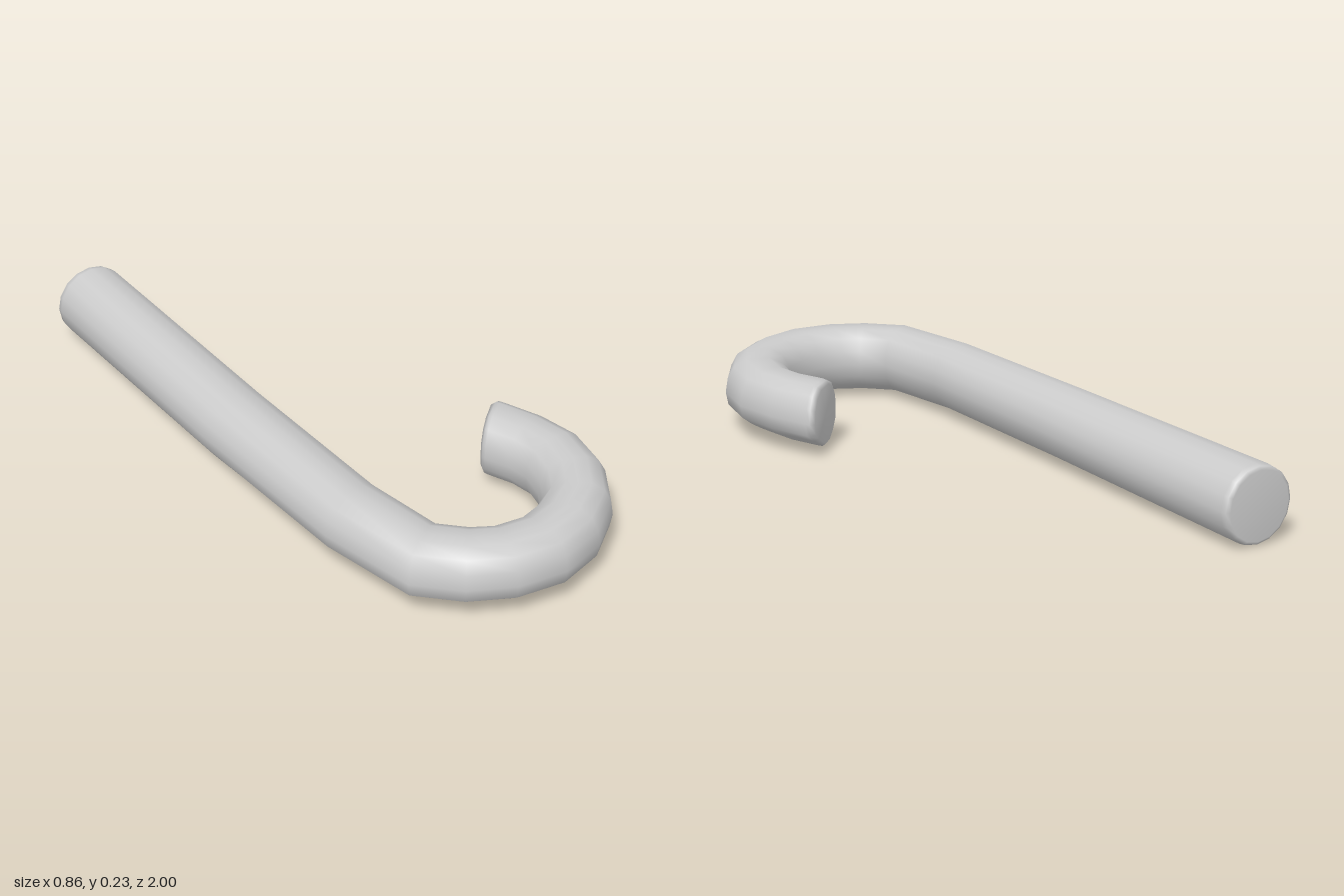
import * as THREE from 'three';

const SIDES = 16;
const MID_Y = 0.12;

// Hook cross-section: x towards the outside of the bend, y up (flat top, chamfered outer underside)
const HOOK = [
  [1, 0], [0.93, 0.43], [0.73, 0.79], [0.36, 1], [0, 1], [-0.36, 1], [-0.75, 0.8], [-0.97, 0.42],
  [-1, 0], [-0.95, -0.4], [-0.7, -0.74], [-0.38, -0.96], [0, -1], [0.33, -0.82], [0.64, -0.63], [0.93, -0.4],
];

// Rings: outer x, z, inner x, z, half height, blend (0 = round shaft, 1 = hook section)
const RINGS = [
  [-0.418, -1, -0.212, -1, 0.104, 0],
  [-0.43, -0.993, -0.2, -0.993, 0.114, 0],
  [-0.432, -0.975, -0.198, -0.975, 0.117, 0],
  [-0.432, -0.12, -0.2, -0.12, 0.109, 0],
  [-0.41, 0.49, -0.2, 0.45, 0.103, 0.7],
  [-0.35, 0.8, -0.17, 0.69, 0.102, 1],
  [-0.24, 0.91, -0.11, 0.75, 0.102, 1],
  [-0.11, 0.975, -0.06, 0.78, 0.102, 1],
  [0.04, 0.995, 0.02, 0.79, 0.102, 1],
  [0.19, 0.95, 0.09, 0.77, 0.102, 1],
  [0.31, 0.86, 0.16, 0.73, 0.102, 1],
  [0.395, 0.73, 0.2, 0.66, 0.102, 1],
  [0.425, 0.58, 0.22, 0.58, 0.102, 1],
  [0.4, 0.44, 0.21, 0.51, 0.102, 1],
  [0.35, 0.31, 0.18, 0.44, 0.102, 1],
  [0.345, 0.297, 0.177, 0.43, 0.1, 1],
  [0.329, 0.29, 0.183, 0.415, 0.09, 1],
];

// Skins the rings into one closed bar with smooth normals
function loftCane() {
  const pos = [], index = [];
  for (const [ox, oz, ix, iz, h, blend] of RINGS) {
    const cx = (ox + ix) / 2, cz = (oz + iz) / 2;
    for (let k = 0; k < SIDES; k++) {
      const a = (k / SIDES) * Math.PI * 2;
      const u = THREE.MathUtils.lerp(Math.cos(a), HOOK[k][0], blend);
      const v = THREE.MathUtils.lerp(Math.sin(a), HOOK[k][1], blend);
      pos.push(cx + (ox - cx) * u, MID_Y + h * v, cz + (oz - cz) * u);
    }
  }
  const last = (RINGS.length - 1) * SIDES;
  for (let i = 0; i < last; i += SIDES) {
    for (let k = 0; k < SIDES; k++) {
      const n = (k + 1) % SIDES;
      const a = i + k, b = i + n, c = a + SIDES, d = b + SIDES;
      index.push(a, c, b, b, c, d);
    }
  }
  // End caps
  const start = pos.length / 3;
  for (const [ox, oz, ix, iz] of [RINGS[0], RINGS[RINGS.length - 1]]) {
    pos.push((ox + ix) / 2, MID_Y, (oz + iz) / 2);
  }
  for (let k = 0; k < SIDES; k++) {
    const n = (k + 1) % SIDES;
    index.push(start, k, n, start + 1, last + n, last + k);
  }
  const geo = new THREE.BufferGeometry();
  geo.setAttribute('position', new THREE.Float32BufferAttribute(pos, 3));
  geo.setIndex(index);
  geo.computeVertexNormals();
  return geo;
}

export function createModel() {
  const group = new THREE.Group();
  group.name = 'cane';
  const cane = new THREE.Mesh(loftCane(), new THREE.MeshStandardMaterial({ color: 0xcccccc }));
  cane.name = 'shaftAndHook';
  group.add(cane);
  return group;
}
